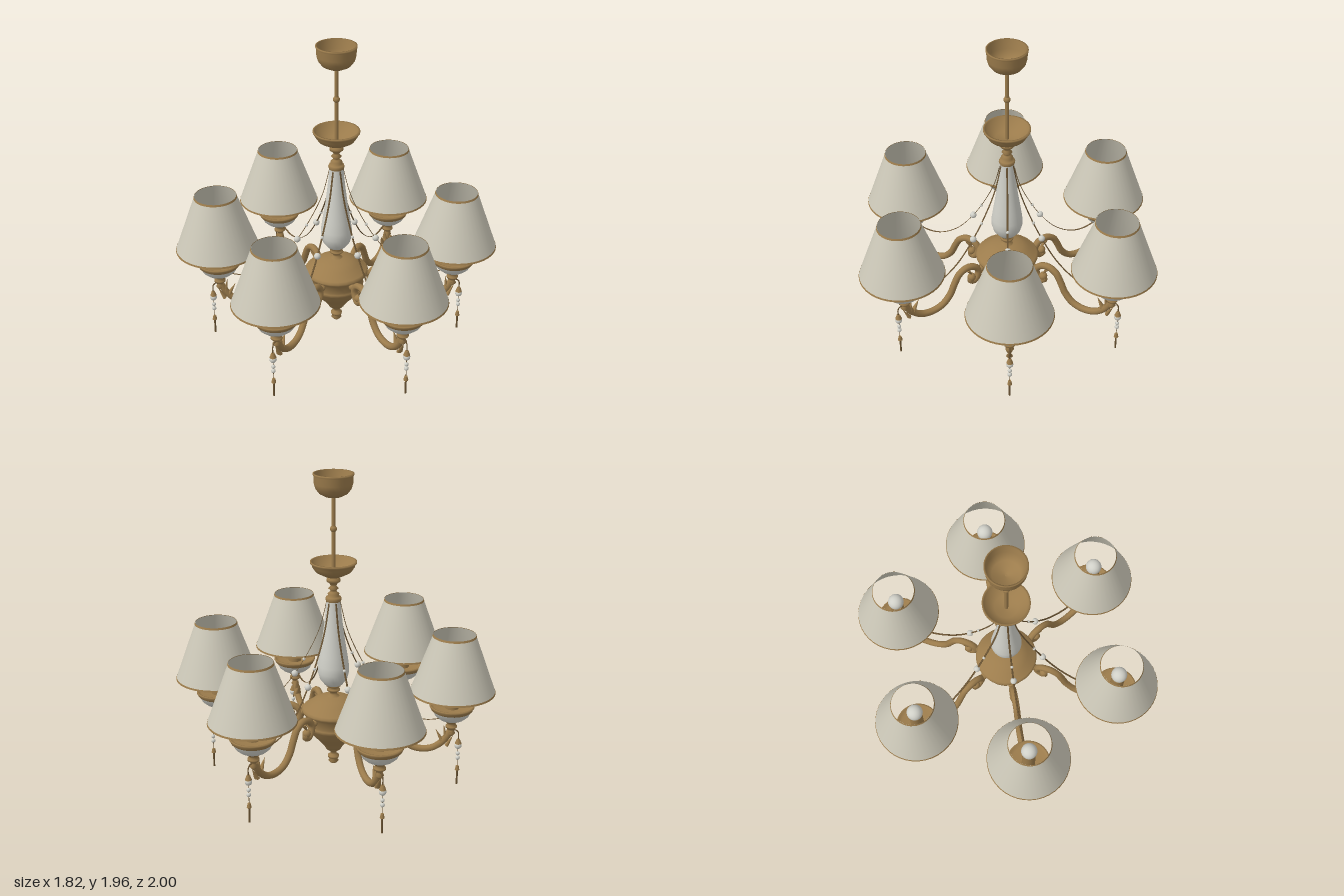
import * as THREE from 'three';

const gold = new THREE.MeshStandardMaterial({ color: 0x9c7c4c, side: THREE.DoubleSide });
gold.name = 'antique gold';
const fabric = new THREE.MeshStandardMaterial({ color: 0xccc8b8, side: THREE.DoubleSide });
fabric.name = 'cream fabric';
const porcelain = new THREE.MeshStandardMaterial({ color: 0xd0d0c8, side: THREE.DoubleSide });
porcelain.name = 'white porcelain';
const bronze = new THREE.MeshStandardMaterial({ color: 0x6b5433, side: THREE.DoubleSide });
bronze.name = 'dark bronze';

const points = (list) => list.map(([x, y]) => new THREE.Vector2(x, y));
const curve = (list) => new THREE.CatmullRomCurve3(list.map(([x, y]) => new THREE.Vector3(x, y, 0)));

function add(parent, name, geometry, material, x = 0, y = 0, z = 0) {
  const mesh = new THREE.Mesh(geometry, material);
  mesh.name = name;
  mesh.position.set(x, y, z);
  parent.add(mesh);
  return mesh;
}

// Turned part; profile is [radius, height] from bottom to top
function turned(parent, name, profile, material, x = 0, sides = 32) {
  return add(parent, name, new THREE.LatheGeometry(points(profile), sides), material, x);
}

const ARM_R = 0.74;

function makeLamp(lamp) {
  // Dish under the shade
  turned(lamp, 'cupStem', [[0, 0.325], [0.014, 0.335], [0.026, 0.35], [0.016, 0.367], [0.02, 0.38],
    [0.036, 0.39], [0.036, 0.4], [0.024, 0.41], [0.034, 0.425], [0.052, 0.44]], gold, ARM_R, 20);
  turned(lamp, 'dishBowl', [[0.05, 0.438], [0.08, 0.453], [0.105, 0.475], [0.122, 0.508]], porcelain, ARM_R);
  turned(lamp, 'dishRim', [[0.121, 0.506], [0.129, 0.512], [0.131, 0.52], [0.138, 0.53], [0.138, 0.54],
    [0.128, 0.54], [0.11, 0.52], [0, 0.518]], gold, ARM_R);
  // Candle and bulb
  add(lamp, 'candle', new THREE.CylinderGeometry(0.042, 0.042, 0.26, 24), gold, ARM_R, 0.65);
  add(lamp, 'bulb', new THREE.SphereGeometry(0.05, 20, 14), porcelain, ARM_R, 0.82);
  // Shade with trimmed edges
  turned(lamp, 'shade', [[0.26, 0.635], [0.128, 1]], fabric, ARM_R, 40);
  turned(lamp, 'shadeBottomTrim', [[0.262, 0.632], [0.2585, 0.643]], gold, ARM_R, 40);
  turned(lamp, 'shadeTopTrim', [[0.1335, 0.99], [0.129, 1.002]], gold, ARM_R, 40);
}

function makeArm(lamp) {
  // Scrolled arm
  const path = curve([[0.262, 0.385], [0.272, 0.362], [0.25, 0.35], [0.222, 0.375], [0.212, 0.42],
    [0.24, 0.46], [0.295, 0.474], [0.35, 0.445], [0.385, 0.385], [0.42, 0.31], [0.475, 0.252],
    [0.545, 0.23], [0.62, 0.24], [0.68, 0.28], [0.715, 0.325], [0.735, 0.365]]);
  add(lamp, 'arm', new THREE.TubeGeometry(path, 64, 0.022, 8), gold);
  add(lamp, 'scrollEnd', new THREE.SphereGeometry(0.027, 12, 8), gold, 0.262, 0.385);
  add(lamp, 'bodyPin', new THREE.SphereGeometry(0.024, 12, 8), gold, 0.19, 0.43);
  // Leaves along the arm
  const leaves = [[0.662, 0.335, 0.5], [0.7, 0.36, 0.15], [0.735, 0.3, -0.5], [0.27, 0.42, 2.6]];
  for (const [x, y, tilt] of leaves) {
    const leaf = add(lamp, 'leaf', new THREE.ConeGeometry(0.022, 0.085, 8), gold, x, y);
    leaf.rotation.z = tilt;
    leaf.scale.x = 0.6;
  }
}

function makeSwag(lamp) {
  // Thin flat garland from the column to the dish
  const path = curve([[0.042, 1.17], [0.085, 1], [0.15, 0.85], [0.245, 0.685], [0.36, 0.54],
    [0.48, 0.455], [0.58, 0.43], [0.705, 0.45]]);
  const garland = add(lamp, 'garland', new THREE.TubeGeometry(path, 48, 0.0018, 6), bronze);
  garland.scale.z = 3.2;
  for (const [x, y] of [[0.245, 0.685], [0.185, 0.785]]) {
    add(lamp, 'garlandBead', new THREE.SphereGeometry(x > 0.2 ? 0.021 : 0.01, 12, 8), porcelain, x, y);
  }
}

function makePendant(lamp) {
  const x = 0.787;
  const hook = curve([[0.74, 0.36], [0.765, 0.372], [0.785, 0.355], [x, 0.3]]);
  add(lamp, 'pendantHook', new THREE.TubeGeometry(hook, 16, 0.004, 6), bronze);
  add(lamp, 'pendantWire', new THREE.CylinderGeometry(0.0018, 0.0018, 0.22, 6), bronze, x, 0.21);
  add(lamp, 'pendantCap', new THREE.CylinderGeometry(0.01, 0.021, 0.03, 10), gold, x, 0.295);
  add(lamp, 'largeBead', new THREE.SphereGeometry(0.022, 12, 8), porcelain, x, 0.266);
  add(lamp, 'smallBead', new THREE.SphereGeometry(0.013, 10, 8), porcelain, x, 0.213);
  add(lamp, 'smallBead', new THREE.SphereGeometry(0.014, 10, 8), porcelain, x, 0.182);
  add(lamp, 'dropCap', new THREE.CylinderGeometry(0.009, 0.015, 0.028, 10), gold, x, 0.112);
  add(lamp, 'dropRod', new THREE.CylinderGeometry(0.006, 0.006, 0.1, 8), bronze, x, 0.05);
}

export function createModel() {
  const model = new THREE.Group();
  model.name = 'chandelier';

  // Ceiling cup and rod
  turned(model, 'ceilingCup', [[0.012, 1.815], [0.05, 1.822], [0.085, 1.84], [0.108, 1.87],
    [0.116, 1.9], [0.118, 1.945], [0.122, 1.95], [0.122, 1.96], [0.112, 1.96], [0.108, 1.9],
    [0.08, 1.85], [0, 1.828]], gold);
  add(model, 'rod', new THREE.CylinderGeometry(0.012, 0.012, 0.5, 12), gold, 0, 1.58);
  add(model, 'rodKnot', new THREE.SphereGeometry(0.021, 12, 8), gold, 0, 1.625);

  // Upper dish and turned neck
  turned(model, 'upperDish', [[0.03, 1.325], [0.055, 1.335], [0.075, 1.345], [0.11, 1.365], [0.13, 1.395],
    [0.134, 1.412], [0.142, 1.415], [0.142, 1.426], [0.13, 1.426], [0.12, 1.395], [0.07, 1.36],
    [0, 1.35]], gold);
  turned(model, 'neck', [[0.045, 1.175], [0.05, 1.19], [0.045, 1.202], [0.03, 1.208], [0.036, 1.222],
    [0.022, 1.235], [0.018, 1.245], [0.032, 1.256], [0.018, 1.27], [0.022, 1.285], [0.042, 1.3],
    [0.042, 1.315], [0.03, 1.33]], gold, 0, 24);

  // Vase-shaped column
  turned(model, 'column', [[0.035, 0.62], [0.058, 0.635], [0.085, 0.67], [0.097, 0.715], [0.096, 0.76],
    [0.086, 0.83], [0.07, 0.93], [0.057, 1.03], [0.047, 1.12], [0.043, 1.18]], porcelain);
  turned(model, 'columnFoot', [[0.04, 0.55], [0.022, 0.565], [0.024, 0.58], [0.04, 0.59], [0.04, 0.6],
    [0.024, 0.608], [0.045, 0.62], [0.045, 0.632], [0.02, 0.638]], gold, 0, 24);

  // Central body and finial
  turned(model, 'body', [[0.02, 0.185], [0.05, 0.195], [0.062, 0.215], [0.085, 0.245], [0.122, 0.285],
    [0.15, 0.32], [0.162, 0.345], [0.172, 0.355], [0.172, 0.37], [0.165, 0.38], [0.178, 0.43],
    [0.197, 0.452], [0.2, 0.465], [0.19, 0.478], [0.168, 0.488], [0.14, 0.515], [0.1, 0.537],
    [0.06, 0.548], [0.02, 0.555]], gold, 0, 24);
  turned(model, 'finial', [[0, 0.085], [0.018, 0.09], [0.032, 0.105], [0.02, 0.12], [0.034, 0.128],
    [0.036, 0.142], [0.018, 0.152], [0.02, 0.17], [0.045, 0.188], [0.045, 0.2]], gold, 0, 20);

  // Six arms, each with lamp, garland and pendant
  for (let i = 0; i < 6; i++) {
    const lamp = new THREE.Group();
    lamp.name = 'lampArm';
    makeArm(lamp);
    makeLamp(lamp);
    makeSwag(lamp);
    makePendant(lamp);
    lamp.rotation.y = -THREE.MathUtils.degToRad(31.4 + i * 60);
    model.add(lamp);
  }
  return model;
}
